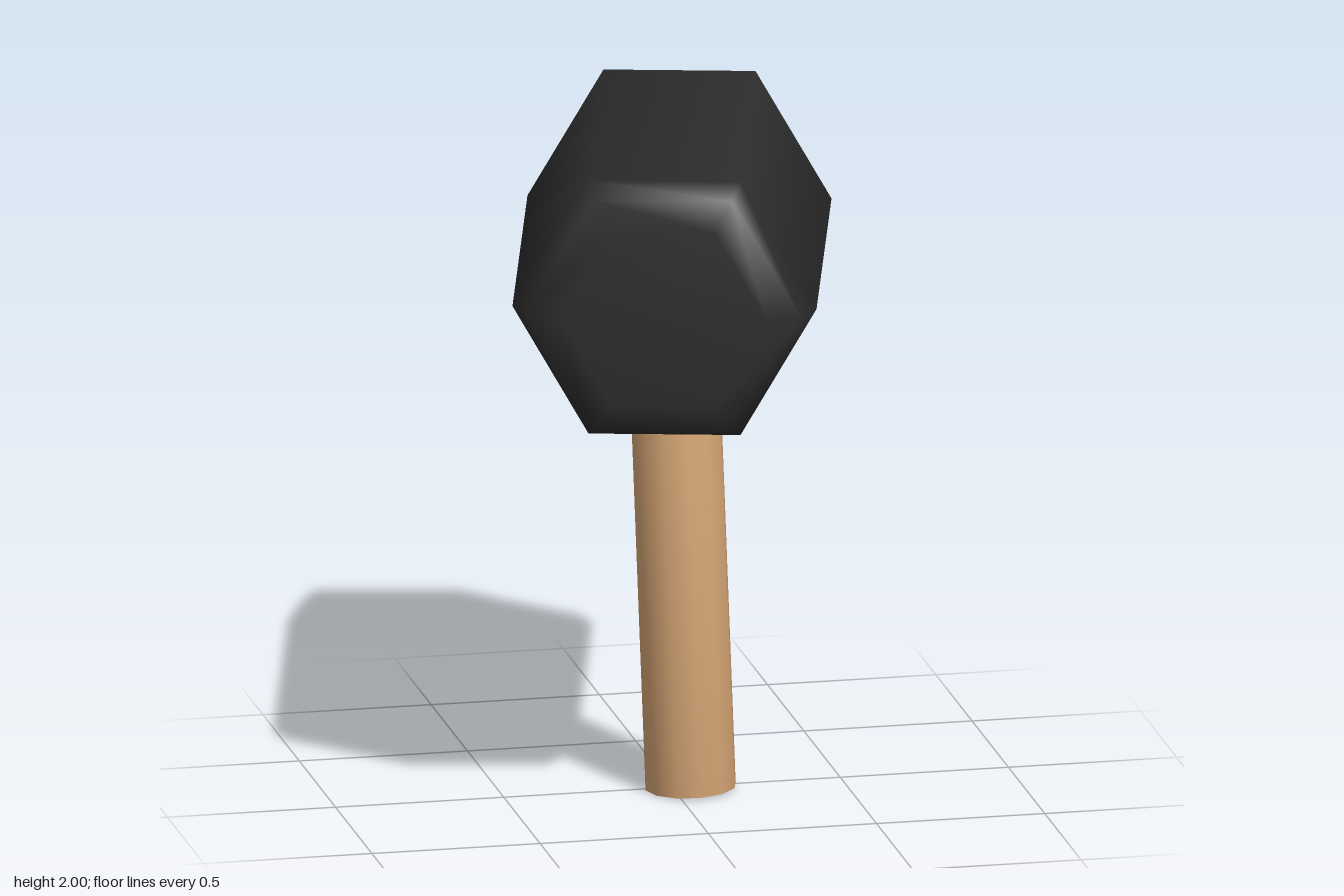
import * as THREE from 'three';

const rubber = new THREE.MeshStandardMaterial({ name: 'black rubber', color: 0x2d2d2d });
const wood = new THREE.MeshStandardMaterial({ name: 'light wood', color: 0xd9a877 });

// Smooth solid of revolution from [radius, height] pairs, bottom to top
function turned(name, profile, sides, material) {
  const points = profile.map(([r, h]) => new THREE.Vector2(r, h));
  const geometry = new THREE.LatheGeometry(points, sides, Math.PI / 2);
  const mesh = new THREE.Mesh(geometry, material);
  mesh.name = name;
  return mesh;
}

export function createModel() {
  const group = new THREE.Group();
  group.name = 'mallet';

  // Six-sided head with bevelled ends, mirrored about its middle
  const end = [[0.442, 0.585], [0.4, 0.672], [0.3, 0.706], [0, 0.706]];
  const back = end.map(([r, h]) => [r, -h]).reverse();
  const head = turned('head', [...back, ...end], 6, rubber);
  head.geometry.rotateX(Math.PI / 2); // lay it along z, flats up and down
  head.position.y = 1.617;
  head.rotation.y = -0.25;
  group.add(head);

  // Round handle, leaning slightly and running up into the head
  const handle = turned('handle', [[0, 0], [0.134, 0], [0.134, 1.5], [0, 1.5]], 12, wood);
  handle.position.set(0.052, 0.005, 0.015);
  handle.rotation.set(-0.008, 0, 0.036);
  group.add(handle);

  return group;
}
